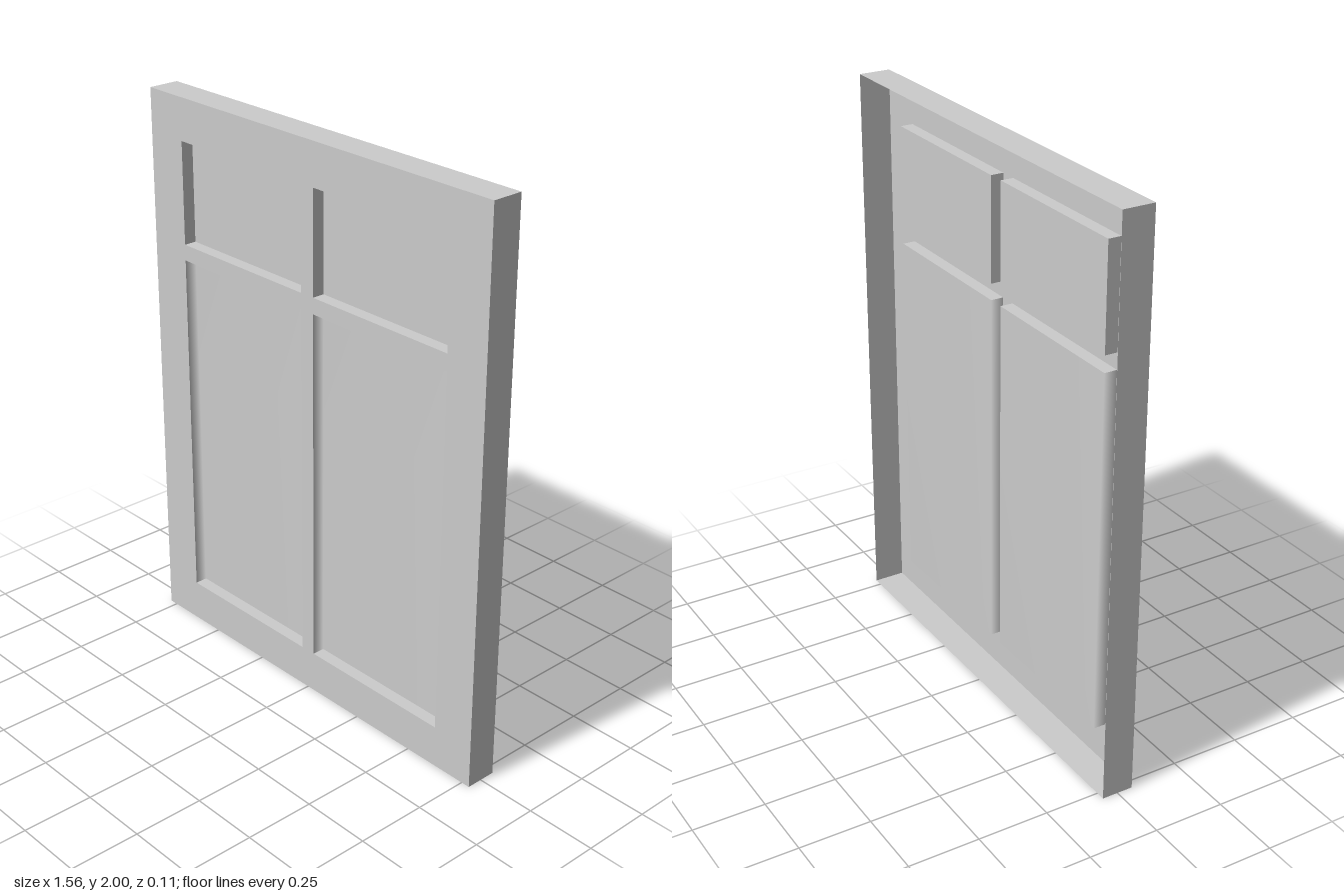
import * as THREE from 'three';

const HALF_W = 0.782, HEIGHT = 2, DEPTH = 0.112, FRONT = DEPTH / 2, RECESS = 0.045;
const material = new THREE.MeshStandardMaterial({ color: 0xcccccc, side: THREE.DoubleSide });

function add(parent, name, geometry) {
  const mesh = new THREE.Mesh(geometry, material);
  mesh.name = name;
  parent.add(mesh);
  return mesh;
}

// Horizontal strip running back from the front plane, facing up (1) or down (-1)
function ledge(parent, name, x, y, width, depth, facing) {
  const geometry = new THREE.PlaneGeometry(width, depth).rotateX(-facing * Math.PI / 2);
  add(parent, name, geometry).position.set(x, y, FRONT - depth / 2);
}

// Recessed tray: side wall, panel face, side wall folded from one plane
function recessedPanel(name, x0, x1, y0, y1, smooth) {
  const group = new THREE.Group();
  group.name = name;
  const w = x1 - x0, h = y1 - y0, cx = (x0 + x1) / 2;
  let tray = new THREE.PlaneGeometry(w, h, 3, 1);
  const pos = tray.attributes.position;
  for (let i = 0; i < pos.count; i++) {
    const column = i % 4;
    pos.setX(i, column < 2 ? -w / 2 : w / 2);
    pos.setZ(i, column === 1 || column === 2 ? -RECESS : 0);
  }
  if (!smooth) tray = tray.toNonIndexed();
  tray.computeVertexNormals();
  add(group, 'panelFace', tray).position.set(cx, (y0 + y1) / 2, FRONT);
  ledge(group, 'panelSill', cx, y0, w, RECESS, 1);
  ledge(group, 'panelHead', cx, y1, w, RECESS, -1);
  return group;
}

function rectangle(target, x0, x1, y0, y1) {
  return target.moveTo(x0, y0).lineTo(x1, y0).lineTo(x1, y1).lineTo(x0, y1).closePath();
}

export function createModel() {
  const model = new THREE.Group();
  model.name = 'panelledDoor';

  // Front sheet with four openings, each backed by a recessed panel
  const sheet = rectangle(new THREE.Shape(), -HALF_W, HALF_W, 0, HEIGHT);
  const rows = [
    { name: 'lowerPanel', y0: 0.15, y1: 1.428, smooth: true },
    { name: 'upperPanel', y0: 1.485, y1: 1.85, smooth: false },
  ];
  for (const [side, x0, x1] of [['Right', -0.622, -0.029], ['Left', 0.029, 0.622]]) {
    for (const { name, y0, y1, smooth } of rows) {
      sheet.holes.push(rectangle(new THREE.Path(), x0, x1, y0, y1));
      model.add(recessedPanel(name + side, x0, x1, y0, y1, smooth));
    }
  }
  add(model, 'frontFrame', new THREE.ShapeGeometry(sheet)).position.z = FRONT;

  // Thin outer rim, open at the back
  ledge(model, 'topRim', 0, HEIGHT, HALF_W * 2, DEPTH, 1);
  ledge(model, 'bottomRim', 0, 0, HALF_W * 2, DEPTH, -1);
  for (const side of [-1, 1]) {
    const rim = new THREE.PlaneGeometry(DEPTH, HEIGHT).rotateY(side * Math.PI / 2);
    add(model, side < 0 ? 'rightRim' : 'leftRim', rim).position.set(side * HALF_W, HEIGHT / 2, 0);
  }
  return model;
}
